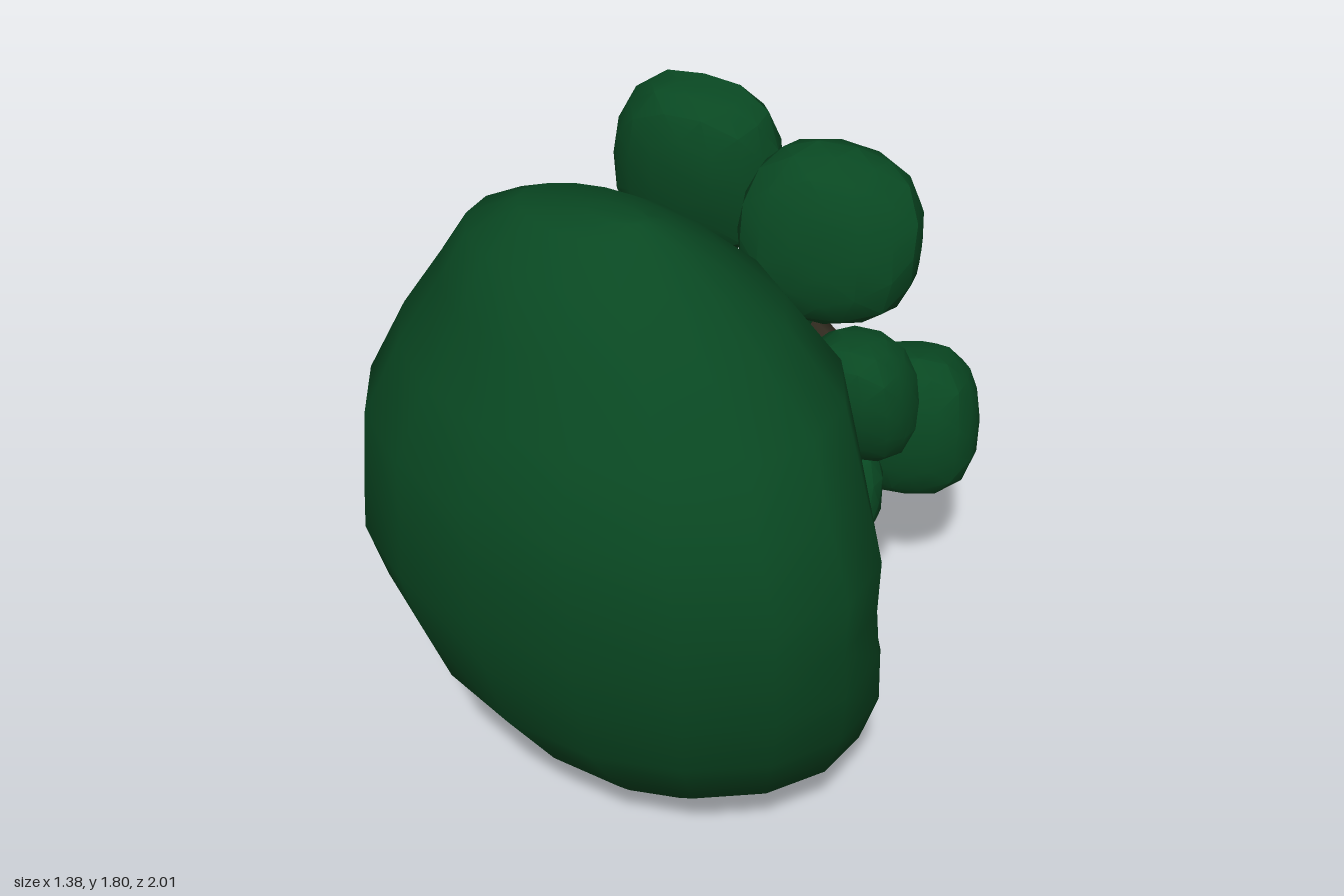
import * as THREE from 'three';
import { mergeVertices, toCreasedNormals } from 'three/addons/utils/BufferGeometryUtils.js';

const leaf = new THREE.MeshStandardMaterial({ name: 'leaf green', color: 0x094822 });
const bark = new THREE.MeshStandardMaterial({ name: 'bark brown', color: 0x2f291e });

function add(group, name, geometry, material) {
  const mesh = new THREE.Mesh(geometry, material);
  mesh.name = name;
  group.add(mesh);
  return mesh;
}

// Lumpy, slightly boxy low-poly ellipsoid for a leaf cluster
function clusterGeometry([rx, ry, rz], seed) {
  let g = new THREE.IcosahedronGeometry(1, 2);
  g.deleteAttribute('normal');
  g.deleteAttribute('uv');
  g = mergeVertices(g, 1e-3);
  const p = g.attributes.position;
  const v = new THREE.Vector3();
  const power = 2.5;
  for (let i = 0; i < p.count; i++) {
    v.fromBufferAttribute(p, i);
    const box = (Math.abs(v.x) ** power + Math.abs(v.y) ** power + Math.abs(v.z) ** power) ** (-1 / power);
    const k = box * (1 + 0.025 * Math.sin(4 * v.x + seed) * Math.cos(3 * v.y - seed)
      + 0.025 * Math.sin(5 * v.z + 2 * seed + 3 * v.y));
    p.setXYZ(i, v.x * rx * k, v.y * ry * k, v.z * rz * k);
  }
  return toCreasedNormals(g, 0.5);
}

// Crown lofted through horizontal rings: y, x min, x max, z min, z max
function crownGeometry() {
  const rows = [
    [0.0, 0.1, 0.16, 0.29, 0.35], [0.06, -0.02, 0.28, 0.18, 0.5],
    [0.16, -0.26, 0.42, 0.06, 0.67], [0.28, -0.4, 0.6, -0.02, 0.78],
    [0.5, -0.55, 0.67, -0.01, 0.92], [0.68, -0.65, 0.68, 0.05, 0.96],
    [0.85, -0.69, 0.68, 0.08, 1], [1.0, -0.68, 0.685, 0.08, 1],
    [1.2, -0.66, 0.63, 0.06, 1], [1.38, -0.58, 0.56, 0.04, 0.92],
    [1.55, -0.47, 0.41, 0.13, 0.82], [1.69, -0.38, 0.27, 0.28, 0.73],
    [1.77, -0.24, 0.15, 0.4, 0.63], [1.8, -0.05, 0.1, 0.5, 0.58],
  ];
  const n = 16, pos = [], idx = [];
  for (const [y, x0, x1, z0, z1] of rows) {
    // The front of the crown leans toward +x, more so higher up
    const skew = 0.13 * THREE.MathUtils.smoothstep(y, 0.3, 0.8);
    for (let j = 0; j < n; j++) {
      const a = (j / n) * Math.PI * 2;
      const c = Math.cos(a), s = Math.sin(a);
      pos.push((x0 + x1) / 2 + (c + skew * s) * (x1 - x0) / 2, y,
        (z0 + z1) / 2 + s * (z1 - z0) / 2);
    }
  }
  for (let i = 0; i < rows.length - 1; i++) {
    for (let j = 0; j < n; j++) {
      const a = i * n + j, b = i * n + (j + 1) % n;
      idx.push(a, a + n, b + n, a, b + n, b);
    }
  }
  // Bottom and top caps
  const top = (rows.length - 1) * n;
  for (let j = 1; j < n - 1; j++) {
    idx.push(0, j, j + 1, top, top + j + 1, top + j);
  }
  const g = new THREE.BufferGeometry();
  g.setAttribute('position', new THREE.Float32BufferAttribute(pos, 3));
  g.setIndex(idx);
  return toCreasedNormals(g, 0.75);
}

// Tube along points whose radius follows the given list
function limbGeometry(points, radii, sides) {
  const curve = new THREE.CatmullRomCurve3(points.map((p) => new THREE.Vector3(...p)));
  const steps = (points.length - 1) * 3;
  const g = new THREE.TubeGeometry(curve, steps, 1, sides);
  const p = g.attributes.position;
  const v = new THREE.Vector3();
  for (let i = 0; i <= steps; i++) {
    const c = curve.getPointAt(i / steps);
    const f = (i / steps) * (radii.length - 1);
    const k = Math.min(Math.floor(f), radii.length - 2);
    const r = THREE.MathUtils.lerp(radii[k], radii[k + 1], f - k);
    for (let j = 0; j <= sides; j++) {
      const q = i * (sides + 1) + j;
      v.fromBufferAttribute(p, q).sub(c).multiplyScalar(r).add(c);
      p.setXYZ(q, v.x, v.y, v.z);
    }
  }
  g.computeVertexNormals();
  return g;
}

export function createModel() {
  const model = new THREE.Group();
  model.name = 'fallenTree';

  add(model, 'mainCrown', crownGeometry(), leaf);

  // Leaf clusters: name, centre, radii, turn about y, tilt about x
  const clusters = [
    ['upperRightCluster', [-0.19, 1.36, -0.455], [0.235, 0.255, 0.14], 0, 0.08],
    ['middleRightCluster', [-0.22, 0.89, -0.16], [0.21, 0.305, 0.18], 0, 0],
    ['lowerRightCluster', [-0.42, 0.43, -0.05], [0.26, 0.2, 0.15], 0, 0],
    ['upperLeftCluster', [0.28, 1.395, -0.195], [0.235, 0.24, 0.16], 0.2, -0.1],
    ['backLeftCluster', [0.445, 0.695, -0.46], [0.18, 0.22, 0.145], 0.25, -0.1],
    ['lowerBackCluster', [0.09, 0.375, -0.415], [0.195, 0.215, 0.155], 0, 0.1],
    ['frontLeftCluster', [0.475, 1.165, 0.14], [0.15, 0.18, 0.115], 0, 0.15],
    ['sideLeftCluster', [0.375, 0.795, 0.05], [0.15, 0.165, 0.1], 0, -0.1],
    ['smallInnerCluster', [0.09, 1.085, -0.335], [0.105, 0.115, 0.075], 0, 0],
  ];
  clusters.forEach(([name, centre, radii, turn, tilt], i) => {
    const mesh = add(model, name, clusterGeometry(radii, i * 1.7 + 0.6), leaf);
    mesh.position.set(...centre);
    mesh.rotation.set(tilt, turn, 0);
  });

  // Trunk with a flared, closed foot
  add(model, 'trunk', limbGeometry(
    [[0, 0.88, -1], [0, 0.895, -0.8], [0.01, 0.905, -0.6], [0.02, 0.92, -0.3], [0, 0.96, 0], [0, 0.97, 0.2]],
    [0.112, 0.075, 0.07, 0.055, 0.03, 0.02], 8), bark);
  const foot = add(model, 'trunkFoot', new THREE.CircleGeometry(0.11, 8), bark);
  foot.position.set(0, 0.88, -0.999);
  foot.rotation.y = Math.PI;

  // Branches: name, path, start radius, end radius
  const branches = [
    ['upperRightBranch', [[0, 0.92, -0.57], [-0.06, 1.1, -0.57], [-0.13, 1.3, -0.595], [-0.16, 1.54, -0.575]], 0.035, 0.018],
    ['backLeftBranch', [[0, 0.84, -0.69], [0.1, 0.74, -0.68], [0.27, 0.71, -0.64], [0.4, 0.69, -0.54]], 0.045, 0.02],
    ['lowerBackBranch', [[0, 0.87, -0.7], [0.03, 0.72, -0.675], [0.04, 0.58, -0.645], [0.07, 0.4, -0.56]], 0.042, 0.022],
    ['upperLeftBranch', [[0.01, 0.92, -0.43], [0.1, 1.06, -0.42], [0.23, 1.25, -0.32]], 0.025, 0.012],
    ['innerBranch', [[0.01, 0.92, -0.42], [0.05, 1.0, -0.38], [0.07, 1.08, -0.34]], 0.02, 0.01],
    ['frontLeftBranch', [[0, 0.93, -0.17], [0.22, 1.0, -0.08], [0.44, 1.15, 0.05]], 0.025, 0.012],
    ['sideLeftBranch', [[0.16, 0.98, -0.1], [0.28, 0.92, -0.05], [0.36, 0.82, 0.0]], 0.018, 0.012],
    ['lowerRightBranch', [[0.01, 0.9, -0.32], [-0.2, 0.66, -0.24], [-0.4, 0.48, -0.12]], 0.03, 0.015],
  ];
  for (const [name, path, r0, r1] of branches) {
    add(model, name, limbGeometry(path, [r0, r1], 6), bark);
  }
  return model;
}
